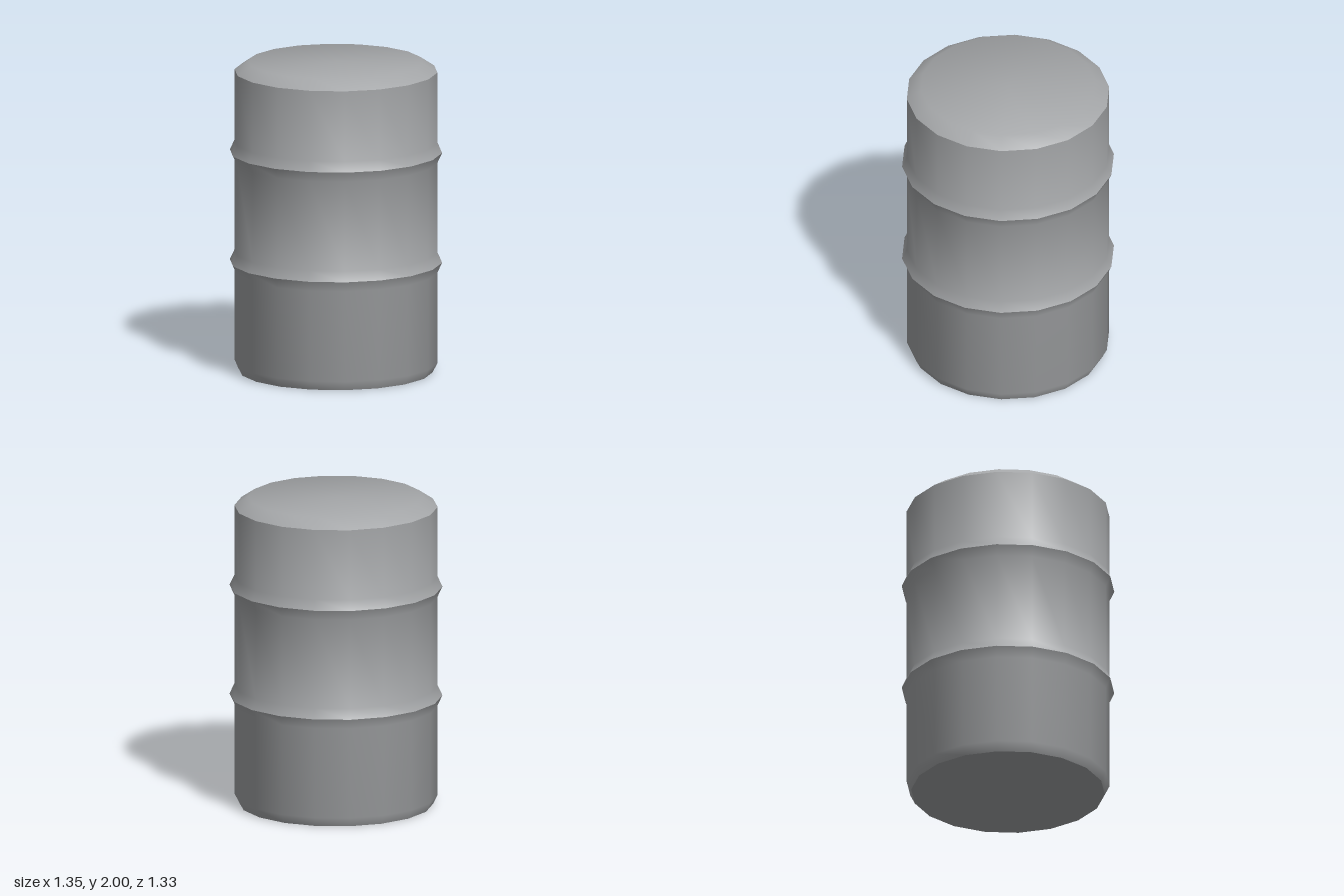
import * as THREE from 'three';
import { toCreasedNormals } from 'three/addons/utils/BufferGeometryUtils.js';

const SIDES = 18;
const RADIUS = 0.645;

export function createModel() {
  const group = new THREE.Group();
  group.name = 'barrel';

  const steel = new THREE.MeshStandardMaterial({ color: 0xa4a6a8 });
  steel.name = 'grey steel';

  // Reinforcing ridge around the wall, centred on height y
  const ridge = (y) => [[RADIUS, y - 0.065], [0.675, y], [RADIUS, y + 0.065]];

  // Profile from the bottom centre up the wall to the lid centre
  const profile = [
    [0, 0], [0.615, 0], [RADIUS, 0.06],
    ...ridge(0.71),
    ...ridge(1.42),
    [RADIUS, 1.94], [0.555, 2], [0, 2],
  ].map(([r, y]) => new THREE.Vector2(r, y));

  // Smooth round the wall, sharp at the ridges and rims
  const lathe = new THREE.LatheGeometry(profile, SIDES, Math.PI / 2);
  const geometry = toCreasedNormals(lathe, THREE.MathUtils.degToRad(40));

  const drum = new THREE.Mesh(geometry, steel);
  drum.name = 'drum';
  group.add(drum);
  return group;
}
